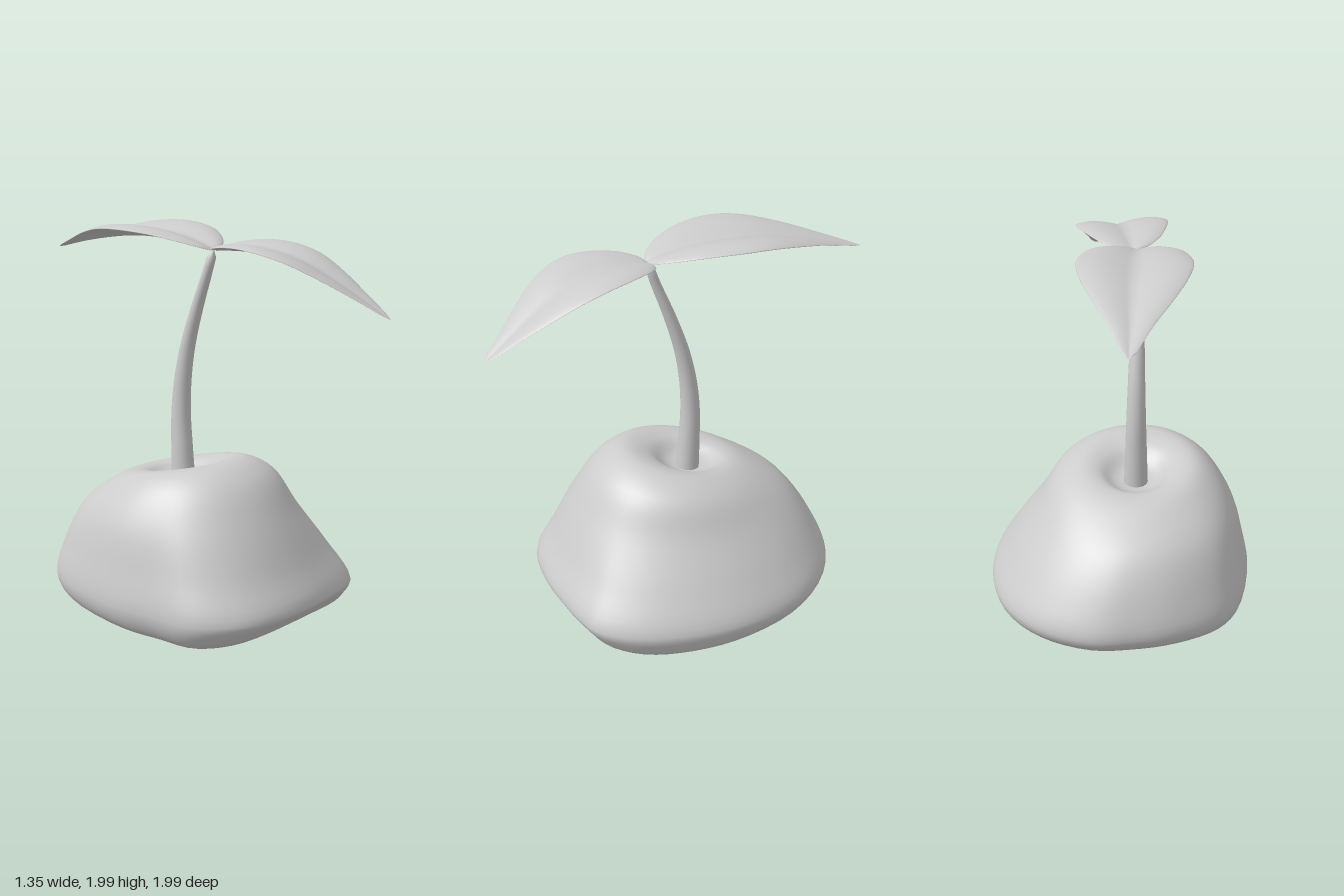
import * as THREE from 'three';

const material = new THREE.MeshStandardMaterial({ color: 0xcccccc });

// Skin a list of closed loops (equal point counts) into one smooth surface
function loft(name, loops) {
  const n = loops[0].length, index = [];
  for (let i = 0; i < loops.length - 1; i++) {
    for (let j = 0; j < n; j++) {
      const k = (j + 1) % n;
      const a = i * n + j, b = i * n + k, c = (i + 1) * n + k, d = (i + 1) * n + j;
      index.push(a, b, c, a, c, d);
    }
  }
  const geometry = new THREE.BufferGeometry().setFromPoints(loops.flat());
  geometry.setIndex(index);
  geometry.computeVertexNormals();
  const mesh = new THREE.Mesh(geometry, material);
  mesh.name = name;
  return mesh;
}

const spline = (points, closed = false) =>
  new THREE.CatmullRomCurve3(points.map((p) => new THREE.Vector3(...p)), closed, 'centripetal');

// Lumpy soil mound with a hollow on top
function createMound() {
  const outline = spline([
    [0, 0, 0.72], [0.22, 0, 0.68], [0.36, 0, 0.64], [0.48, 0, 0.58], [0.6, 0, 0.4], [0.67, 0, 0.1],
    [0.66, 0, -0.2], [0.55, 0, -0.5], [0.35, 0, -0.7], [0.1, 0, -0.79], [-0.1, 0, -0.77], [-0.3, 0, -0.71],
    [-0.52, 0, -0.57], [-0.62, 0, -0.4], [-0.67, 0, 0], [-0.63, 0, 0.24], [-0.58, 0, 0.48], [-0.42, 0, 0.65],
    [-0.24, 0, 0.715],
  ], true);
  // xMin, xMax, zMin, zMax, y at front, y at back, roundness, arch under the front
  const levels = [
    [0.08, 0.08, 0.08, 0.08, 0.03, 0.03, 0, 0],
    [-0.36, 0.53, -0.34, 0.46, 0.01, 0.04, 0, 0.03],
    [-0.6, 0.62, -0.6, 0.62, 0.055, 0.09, 0, 0.05],
    [-0.65, 0.655, -0.74, 0.68, 0.11, 0.14, 0, 0.05],
    [-0.67, 0.67, -0.79, 0.72, 0.19, 0.22, 0, 0.02],
    [-0.64, 0.575, -0.74, 0.64, 0.38, 0.38, 0.3, 0],
    [-0.58, 0.43, -0.61, 0.53, 0.6, 0.58, 0.7, 0],
    [-0.475, 0.325, -0.44, 0.4, 0.79, 0.7, 0.9, 0],
    [-0.38, 0.2, -0.33, 0.26, 0.86, 0.75, 1, 0],
    [-0.27, 0.11, -0.26, 0.13, 0.825, 0.755, 1, 0],
    [-0.19, 0.03, -0.19, 0.03, 0.745, 0.725, 1, 0],
    [-0.08, -0.08, -0.08, -0.08, 0.715, 0.715, 1, 0],
  ];
  const columns = outline.getPoints(72).slice(0, -1).map((p) => {
    const shape = new THREE.Vector2(p.x / 0.67, (p.z + 0.035) / 0.755);
    const round = shape.clone().normalize();
    return spline(levels.map(([x0, x1, z0, z1, yf, yb, r, arch]) => {
      const q = shape.clone().lerp(round, r);
      const bump = arch * Math.max(0, q.y) ** 2 * (1 - 1.5 * q.x * q.x);
      return [
        (x0 + x1) / 2 + q.x * (x1 - x0) / 2,
        (yf + yb) / 2 + q.y * (yf - yb) / 2 + bump,
        (z0 + z1) / 2 + q.y * (z1 - z0) / 2,
      ];
    }));
  });
  const rows = 55, loops = [];
  for (let i = 0; i <= rows; i++) loops.push(columns.map((c) => c.getPoint(i / rows)));
  return loft('soilMound', loops);
}

// Curved stem, thinning towards the leaves and closed at its tip
function createStem() {
  const path = spline([
    [-0.08, 0.68, -0.075], [-0.08, 0.86, -0.085], [-0.08, 1.05, -0.092], [-0.08, 1.22, -0.08],
    [-0.08, 1.4, -0.045], [-0.08, 1.6, 0.02], [-0.08, 1.78, 0.09], [-0.075, 1.9, 0.13],
  ]);
  const rows = 28, loops = [];
  for (let i = 0; i <= rows; i++) {
    const t = i / rows, c = path.getPointAt(t);
    const radius = i === rows ? 0 : 0.062 - 0.04 * t;
    loops.push(Array.from({ length: 20 }, (_, j) => {
      const a = j / 20 * Math.PI * 2;
      return new THREE.Vector3(c.x + radius * Math.cos(a), c.y, c.z - radius * Math.sin(a));
    }));
  }
  return loft('stem', loops);
}

// Leaf with a creased midrib and rounded rim; stations hold x, y, z and half width
function createLeaf(name, stations, cup) {
  const rib = spline(stations.map((s) => s.slice(0, 3)));
  const width = spline(stations.map((s, i) => [i * 0.15, s[3], 0]));
  const up = new THREE.Vector3(0, 1, 0);
  const along = rib.getPoint(1).sub(rib.getPoint(0)).setY(0).normalize();
  const side = up.clone().cross(along);
  const loops = [];
  for (let i = 0; i <= 40; i++) {
    const t = i / 40, c = rib.getPoint(t), w = width.getPoint(t).y;
    loops.push(Array.from({ length: 44 }, (_, j) => {
      const a = j / 44 * Math.PI * 2, u = Math.cos(a);
      const lift = cup * Math.sin(2.1 * Math.abs(u)) + 0.016 * Math.sin(a);
      return c.clone().addScaledVector(side, u * w).addScaledVector(up, lift * w / 0.26);
    }));
  }
  return loft(name, loops);
}

export function createModel() {
  const group = new THREE.Group();
  group.name = 'seedling';
  group.add(createMound(), createStem());
  group.add(createLeaf('backLeaf', [
    [-0.075, 1.89, 0.138, 0.025], [-0.075, 1.9, 0.11, 0.09], [-0.075, 1.917, 0.04, 0.16],
    [-0.075, 1.937, -0.08, 0.228], [-0.078, 1.947, -0.26, 0.27], [-0.08, 1.942, -0.43, 0.25],
    [-0.083, 1.915, -0.62, 0.18], [-0.086, 1.878, -0.8, 0.095], [-0.088, 1.84, -0.95, 0.035],
    [-0.088, 1.83, -0.995, 0.006],
  ], 0.042));
  group.add(createLeaf('frontLeaf', [
    [-0.05, 1.89, 0.125, 0.025], [-0.045, 1.896, 0.145, 0.09], [-0.03, 1.903, 0.21, 0.155],
    [-0.005, 1.905, 0.32, 0.208], [0.02, 1.89, 0.45, 0.235], [0.06, 1.85, 0.59, 0.215],
    [0.105, 1.78, 0.73, 0.155], [0.15, 1.702, 0.86, 0.085], [0.182, 1.64, 0.96, 0.035],
    [0.193, 1.62, 0.993, 0.006],
  ], 0.036));
  return group;
}
